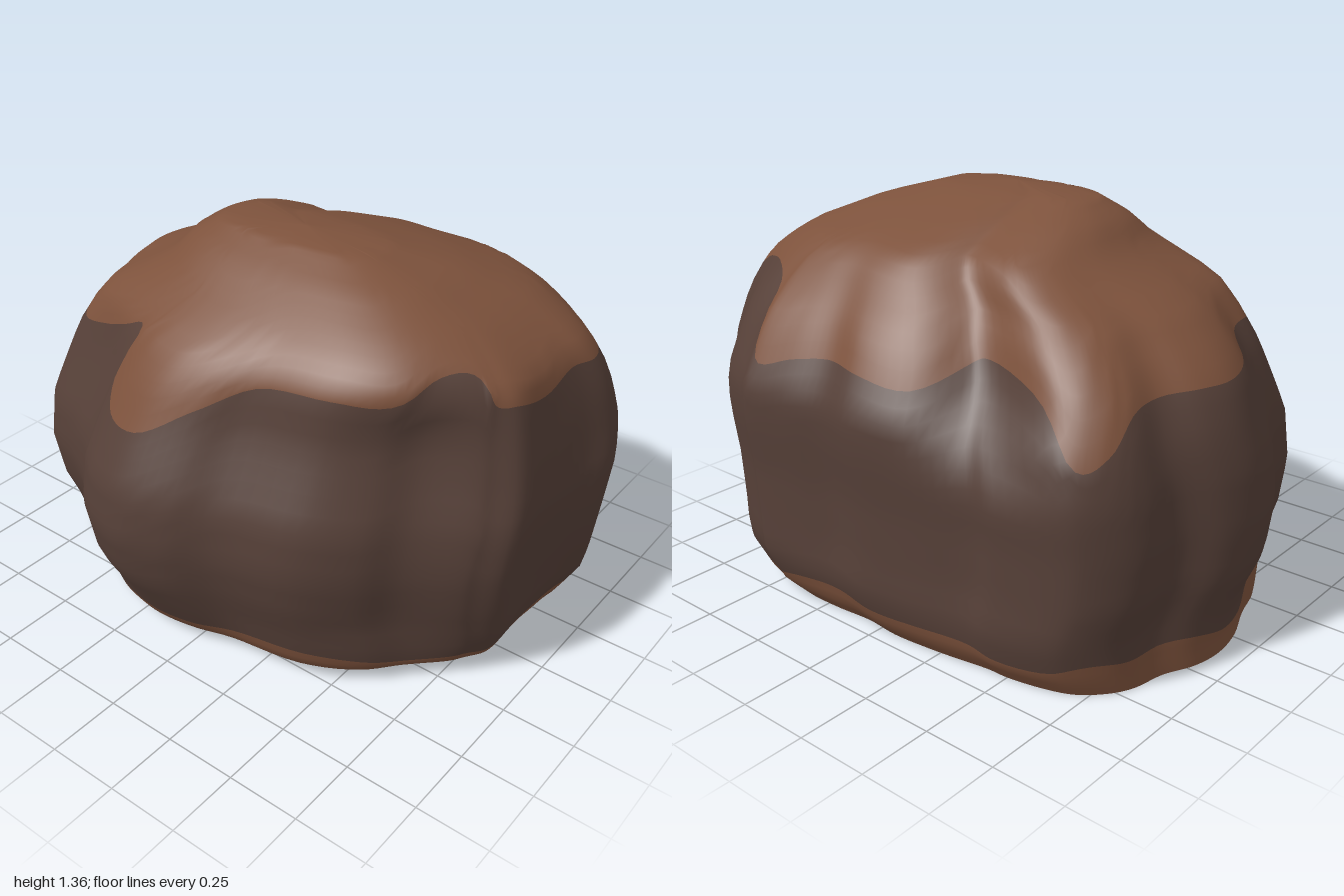
import * as THREE from 'three';

// Widest outline going round the rock: [x, height where the tan cap begins, z]
const OUTLINE = [
  [1, 1.02, -0.34], [0.97, 1.03, -0.2], [0.95, 1.0, 0], [0.95, 1.03, 0.19], [0.89, 1.04, 0.26],
  [0.85, 1.12, 0.3], [0.7, 1.13, 0.4], [0.6, 1.06, 0.52], [0.44, 1.06, 0.63], [0.18, 1.04, 0.69],
  [0.02, 0.94, 0.77], [-0.15, 0.83, 0.8], [-0.3, 0.82, 0.76], [-0.38, 0.88, 0.71], [-0.42, 1.08, 0.67],
  [-0.5, 1.04, 0.61], [-0.6, 0.99, 0.56], [-0.77, 0.94, 0.49], [-0.83, 0.96, 0.42], [-0.87, 0.96, 0.26],
  [-0.97, 0.91, 0.08], [-1, 0.9, -0.07], [-0.97, 0.9, -0.2], [-0.89, 0.89, -0.33], [-0.88, 0.87, -0.46],
  [-0.85, 0.78, -0.55], [-0.79, 0.74, -0.63], [-0.7, 0.9, -0.685], [-0.5, 0.95, -0.72],
  [-0.4, 0.93, -0.715], [-0.2, 0.86, -0.76], [0, 0.88, -0.79], [0.15, 0.89, -0.77], [0.3, 0.87, -0.795],
  [0.46, 0.84, -0.81], [0.52, 1.05, -0.79], [0.65, 1.1, -0.74], [0.8, 1.08, -0.59], [0.95, 1.02, -0.46],
];

// Extents by height: [y, min x, max x, min z, max z]
const PROFILE = [
  [0, -0.92, 0.79, -0.7, 0.58], [0.06, -0.92, 0.875, -0.75, 0.64], [0.17, -0.935, 0.935, -0.79, 0.7],
  [0.3, -0.985, 0.96, -0.785, 0.77], [0.47, -1, 0.985, -0.785, 0.805], [0.64, -0.985, 1, -0.8, 0.79],
  [0.76, -0.95, 0.985, -0.8, 0.735], [0.85, -0.915, 0.97, -0.755, 0.69], [0.92, -0.88, 0.955, -0.72, 0.66],
  [1, -0.8, 0.93, -0.67, 0.62], [1.08, -0.7, 0.89, -0.595, 0.56], [1.14, -0.56, 0.81, -0.545, 0.49],
  [1.2, -0.45, 0.71, -0.48, 0.4], [1.28, -0.37, 0.53, -0.27, 0.28], [1.34, -0.26, 0.32, -0.07, 0.17],
  [1.355, 0.05, 0.05, 0.06, 0.06],
];
const TOP = 1.355;
const COLUMNS = 190;

function extentsAt(y) {
  let k = 1;
  while (k < PROFILE.length - 1 && PROFILE[k][0] < y) k++;
  const a = PROFILE[k - 1], b = PROFILE[k];
  const t = THREE.MathUtils.clamp((y - a[0]) / (b[0] - a[0]), 0, 1);
  return a.map((v, i) => v + (b[i] - v) * t);
}

// Fit the outline into the extents at height y; dents fade to a rounded oval at the top and foot
function surfacePoint(o, y) {
  const { smoothstep, lerp } = THREE.MathUtils;
  const [, x0, x1, z0, z1] = extentsAt(y);
  const u = o.x, w = o.z / 0.805;
  const toOval = (Math.abs(u) ** 3 + Math.abs(w) ** 3) ** (-1 / 3);
  const fade = 0.9 * smoothstep(y, 0.9, 1.25) + 0.4 * (1 - smoothstep(y, 0, 0.3));
  // Hollow in the upper back right
  const hollow = Math.exp(-((o.x + 0.5) ** 2 + (o.z + 0.72) ** 2) / 0.05) * smoothstep(y, 0.55, 0.92);
  const scale = lerp(1, toOval, fade) * (1 - 0.2 * hollow);
  return [lerp(x0, x1, (u * scale + 1) / 2), y, lerp(z0, z1, (w * scale + 1) / 2)];
}

export function createModel() {
  const earth = new THREE.MeshStandardMaterial({ color: 0x7d523c });
  earth.name = 'earth brown';
  const stone = new THREE.MeshStandardMaterial({ color: 0x564038 });
  stone.name = 'dark stone';

  const curve = new THREE.CatmullRomCurve3(OUTLINE.map(p => new THREE.Vector3(...p)), true);
  const ring = [];
  for (let i = 0; i < COLUMNS; i++) ring.push(curve.getPoint(i / COLUMNS));

  // Row heights follow the two wavy colour borders
  const BAND = 4, SIDE = 16, CAP = 18;
  const rows = BAND + SIDE + CAP;
  const positions = [];
  for (let j = 0; j <= rows; j++) {
    ring.forEach((o, i) => {
      const a = i / COLUMNS * Math.PI * 2;
      const low = 0.1 + 0.015 * Math.sin(a * 5 + 1) + 0.01 * Math.sin(a * 11);
      let y;
      if (j <= BAND) y = low * j / BAND;
      else if (j <= BAND + SIDE) y = low + (o.y - low) * (j - BAND) / SIDE;
      else y = o.y + (TOP - o.y) * (1 - (1 - (j - BAND - SIDE) / CAP) ** 2);
      positions.push(...surfacePoint(o, y));
    });
  }
  const index = [];
  for (let j = 0; j < rows; j++) {
    for (let i = 0; i < COLUMNS; i++) {
      const n = (i + 1) % COLUMNS;
      const a = j * COLUMNS + i, b = j * COLUMNS + n;
      const c = a + COLUMNS, d = b + COLUMNS;
      index.push(a, c, b, b, c, d);
    }
  }
  const body = new THREE.BufferGeometry();
  body.setAttribute('position', new THREE.Float32BufferAttribute(positions, 3));
  body.setIndex(index);
  body.computeVertexNormals();
  // The closing point of the cap faces straight up
  for (let i = 0; i < COLUMNS; i++) body.attributes.normal.setXYZ(rows * COLUMNS + i, 0, 1, 0);

  // Earth band at the foot, stone sides, earth cap
  const perRow = COLUMNS * 6;
  body.addGroup(0, BAND * perRow, 0);
  body.addGroup(BAND * perRow, SIDE * perRow, 1);
  body.addGroup((BAND + SIDE) * perRow, CAP * perRow, 0);
  const boulder = new THREE.Mesh(body, [earth, stone]);
  boulder.name = 'boulder';

  // Flat underside
  const foot = new THREE.Shape(ring.map(o => {
    const [x, , z] = surfacePoint(o, 0);
    return new THREE.Vector2(x, z);
  }));
  const underside = new THREE.Mesh(new THREE.ShapeGeometry(foot).rotateX(Math.PI / 2), earth);
  underside.name = 'underside';

  const group = new THREE.Group();
  group.name = 'rock';
  group.add(boulder, underside);
  return group;
}
